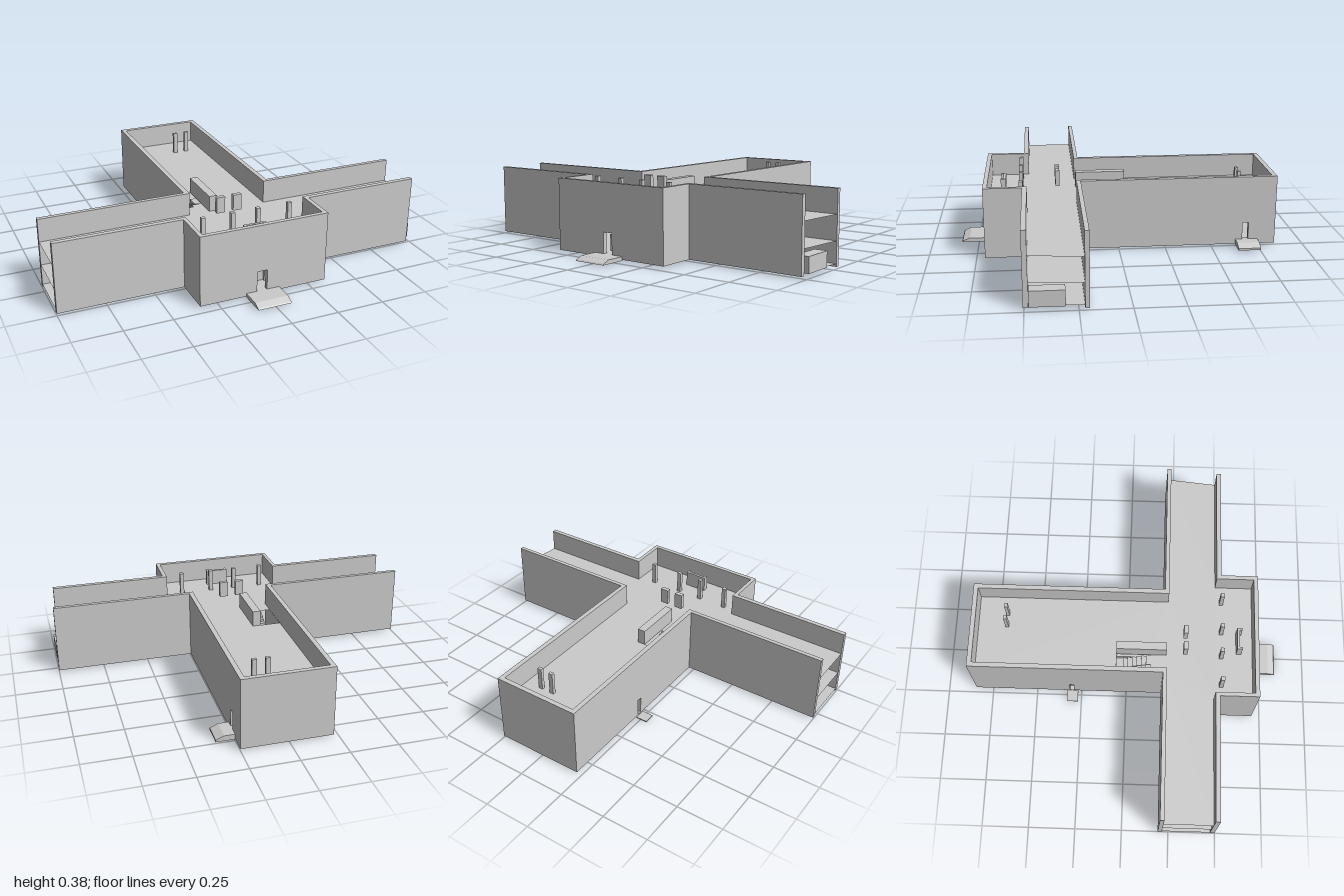
import * as THREE from 'three';

const BASE = 0.01, TOP = 0.385;
const FLOORS = [0.025, 0.135, 0.262];

export function createModel() {
  const model = new THREE.Group();
  const mat = new THREE.MeshStandardMaterial({ color: 0xcccccc, flatShading: true, side: THREE.DoubleSide });

  const add = (name, geo) => {
    const mesh = new THREE.Mesh(geo, mat);
    mesh.name = name;
    model.add(mesh);
    return mesh;
  };
  // Box given by its extents on each axis
  const box = (name, x0, x1, y0, y1, z0, z1) =>
    add(name, new THREE.BoxGeometry(x1 - x0, y1 - y0, z1 - z0)
      .translate((x0 + x1) / 2, (y0 + y1) / 2, (z0 + z1) / 2));
  // Outline in plan: points are [x, z]
  const plan = (pts) => pts.map(([x, z]) => new THREE.Vector2(x, -z));

  // Outer walls without openings: [name, x0, x1, z0, z1]
  const walls = [
    ['backWall', -0.225, 0.25, -0.845, -0.82],
    ['rightArmBackWall', -1, -0.2, 0.195, 0.217],
    ['rightArmFrontWall', -1, -0.325, 0.473, 0.498],
    ['leftArmBackWall', 0.225, 1, 0.2, 0.222],
    ['leftArmFrontWall', 0.32, 0.975, 0.48, 0.505],
    ['entranceRightWall', -0.345, -0.325, 0.498, 0.705],
    ['entranceLeftWall', 0.32, 0.342, 0.505, 0.705],
  ];
  for (const [name, x0, x1, z0, z1] of walls) box(name, x0, x1, BASE, TOP, z0, z1);

  // Walls with a doorway; along = axis the wall runs on
  function doorWall(name, along, a0, a1, b0, b1, d0, d1, sill, head) {
    const piece = (p0, p1, y0, y1) => along === 'x'
      ? box(name, p0, p1, y0, y1, b0, b1)
      : box(name, b0, b1, y0, y1, p0, p1);
    piece(a0, d0, BASE, TOP);
    piece(d1, a1, BASE, TOP);
    piece(d0, d1, head, TOP);
    piece(d0, d1, BASE, sill);
  }
  doorWall('entranceFrontWall', 'x', -0.325, 0.32, 0.682, 0.705, -0.04, 0.015, 0.025, 0.135);
  doorWall('wingLeftWall', 'z', -0.82, 0.2, 0.225, 0.25, -0.7, -0.668, 0.035, 0.13);
  doorWall('wingRightWall', 'z', -0.82, 0.195, -0.225, -0.2, -0.315, -0.29, 0.015, 0.11);

  // Thin storey floors following the inside of the walls
  const floorPts = [
    [-0.2, -0.82], [0.225, -0.82], [0.225, 0.222], [1, 0.222], [0.975, 0.48], [0.32, 0.48],
    [0.32, 0.682], [-0.325, 0.682], [-0.325, 0.473], [-1, 0.473], [-1, 0.217], [-0.2, 0.217],
  ];
  FLOORS.forEach((y, i) => {
    const shape = new THREE.Shape(plan(floorPts));
    if (i > 0) {
      shape.holes.push(new THREE.Path(plan([[-0.199, -0.055], [-0.199, 0.13], [-0.09, 0.13], [-0.09, -0.055]])));
    }
    add('floor', new THREE.ShapeGeometry(shape).rotateX(-Math.PI / 2).translate(0, y, 0));

    const head = FLOORS[i + 1] ?? TOP;
    // Columns
    for (const x of [-0.25, -0.09, 0.05, 0.225])
      box('column', x - 0.011, x + 0.011, y - 0.01, head, 0.502, 0.523);
    for (const x of [0.06, 0.13])
      box('rearColumn', x - 0.012, x + 0.012, y - 0.01, head, -0.67, -0.653);
    // Hanging panels in the crossing
    for (const x of [-0.07, 0.022])
      box('crossingPanel', x - 0.023, x + 0.023, head - 0.087, head, 0.305, 0.328);
    // Reception counter with short returns
    box('counter', -0.07, 0.052, y, y + 0.085, 0.594, 0.608);
    for (const x of [-0.07, 0.04]) box('counterReturn', x, x + 0.012, y, y + 0.085, 0.608, 0.622);
    // Long enclosure beside the stairs
    box('stairEnclosure', -0.088, -0.045, y, y + 0.085, -0.055, 0.215);
  });

  // Two parallel stair flights with a half landing between storeys
  for (let i = 0; i < 2; i++) {
    const rise = (FLOORS[i + 1] - FLOORS[i]) / 12;
    for (let s = 0; s < 12; s++) {
      const up = s < 6, k = up ? s : 11 - s;
      const z = 0.13 - k * 0.025, y = FLOORS[i] + s * rise;
      const x = up ? -0.199 : -0.144;
      box('stairStep', x, x + 0.053, y, y + rise, z - 0.025, z);
    }
    const mid = FLOORS[i] + 6 * rise;
    box('stairLanding', -0.199, -0.09, mid - rise, mid, -0.055, -0.02);
  }

  // Entrance steps: sloped profile [outward, y] pushed along the wall
  function doorstep(name, profile, width) {
    const geo = new THREE.ExtrudeGeometry(new THREE.Shape(profile.map(([a, b]) => new THREE.Vector2(a, b))),
      { depth: width, bevelEnabled: false });
    return add(name, geo);
  }
  const frontStep = doorstep('frontStep', [[0, 0.005], [0.14, 0.005], [0.135, 0.012], [0.1, 0.026], [0, 0.026]], 0.18);
  frontStep.rotation.y = -Math.PI / 2;
  frontStep.position.set(0.082, 0, 0.702);
  const sideStep = doorstep('leftStep', [[0, 0.007], [0.097, 0.007], [0.097, 0.018], [0.055, 0.036], [0, 0.036]], 0.12);
  sideStep.position.set(0.25, 0, -0.75);
  box('rightStep', -0.288, -0.225, 0, 0.006, -0.33, -0.27);

  // Front door posts just inside the entrance
  for (const x of [-0.065, 0.045]) box('doorPost', x, x + 0.014, FLOORS[0], 0.135, 0.672, 0.684);

  // Low block at the open end of the left arm
  box('armEndBlock', 0.93, 0.998, 0.022, 0.102, 0.31, 0.479);

  return model;
}
